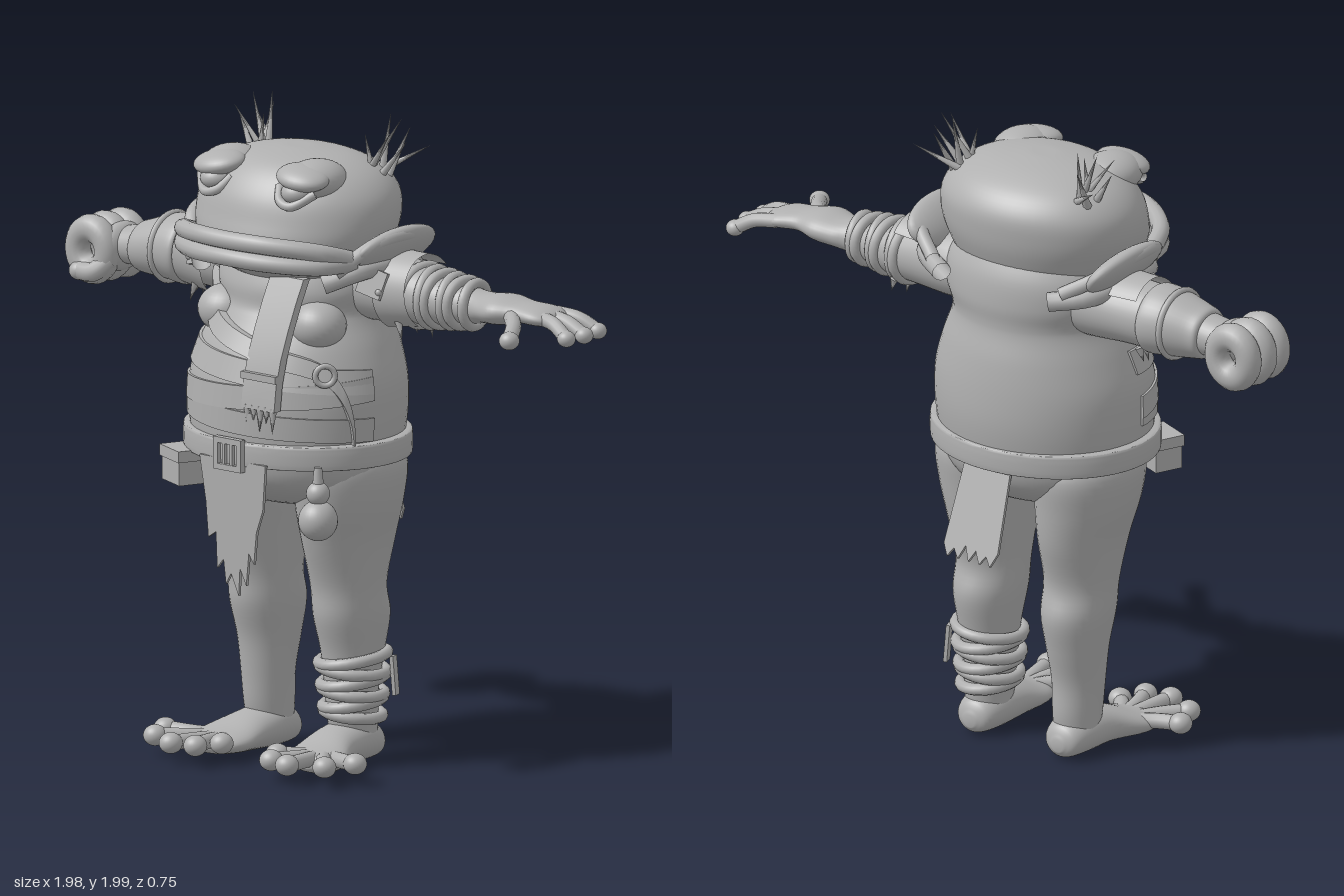
import * as THREE from 'three';
import { toCreasedNormals } from 'three/addons/utils/BufferGeometryUtils.js';

const V = (p) => new THREE.Vector3(...p);
const grey = new THREE.MeshStandardMaterial({ color: 0xb0b0b0, side: THREE.DoubleSide });
grey.name = 'clay grey';

function add(parent, name, geo, pos = [0, 0, 0], rot = [0, 0, 0], scale = [1, 1, 1]) {
  const m = new THREE.Mesh(geo, grey);
  m.name = name;
  m.position.set(...pos);
  m.rotation.set(...rot);
  m.scale.set(...scale);
  parent.add(m);
  return m;
}

// Joins rings of points into one closed skin
function skin(rows) {
  const n = rows[0].length, pos = [], idx = [];
  rows.forEach((r) => r.forEach((p) => pos.push(p.x, p.y, p.z)));
  for (let i = 0; i < rows.length - 1; i++) {
    for (let j = 0; j < n; j++) {
      const a = i * n + j, b = i * n + (j + 1) % n;
      idx.push(a, a + n, b, b, a + n, b + n);
    }
  }
  [0, rows.length - 1].forEach((i) => {
    const c = rows[i].reduce((s, p) => s.add(p), new THREE.Vector3()).divideScalar(n);
    const k = pos.length / 3;
    pos.push(c.x, c.y, c.z);
    for (let j = 0; j < n; j++) {
      const a = i * n + j, b = i * n + (j + 1) % n;
      if (i) idx.push(k, b, a); else idx.push(k, a, b);
    }
  });
  const g = new THREE.BufferGeometry();
  g.setAttribute('position', new THREE.Float32BufferAttribute(pos, 3));
  g.setIndex(idx);
  g.computeVertexNormals();
  return g;
}

// Smooth loft through elliptical sections [x, y, z, radiusA, radiusB] along an axis
function loft(secs, axis, n = 36) {
  const c = new THREE.CatmullRomCurve3(secs.map((s) => V(s.slice(0, 3))), false, 'catmullrom');
  const r = new THREE.CatmullRomCurve3(secs.map((s) => new THREE.Vector3(s[3], s[4], 0)), false, 'catmullrom');
  const rows = [], steps = (secs.length - 1) * 5;
  for (let i = 0; i <= steps; i++) {
    const p = c.getPoint(i / steps), q = r.getPoint(i / steps), row = [];
    for (let j = 0; j < n; j++) {
      const t = j / n * Math.PI * 2, C = Math.cos(t), S = Math.sin(t);
      const d = axis === 'y' ? [q.x * C, 0, q.y * S] : axis === 'x' ? [0, q.x * S, q.y * C] : [q.x * S, q.y * C, 0];
      row.push(V(d).add(p));
    }
    rows.push(row);
  }
  return skin(rows);
}

const ball = new THREE.SphereGeometry(1, 28, 20);
const tube = (pts, r, n = 20) => new THREE.TubeGeometry(new THREE.CatmullRomCurve3(pts.map(V)), n, r, 12);
const blob = (g, name, p, s, rot) => add(g, name, ball, p, rot, s);

// Digit with a round pad at the tip
function digit(g, name, pts, r, pad) {
  add(g, name, tube(pts, r, 12));
  blob(g, name + 'Pad', pts[pts.length - 1], [pad, pad * 0.9, pad]);
}

// Torso sections: height, z centre, half width, half depth
const TORSO = [[0.79, 0, 0.05, 0.05], [0.83, 0.01, 0.22, 0.19], [0.9, 0.015, 0.31, 0.275], [1, 0.015, 0.335, 0.3],
  [1.1, 0.012, 0.345, 0.31], [1.2, 0.01, 0.342, 0.305], [1.3, 0, 0.31, 0.282], [1.38, -0.015, 0.275, 0.248],
  [1.42, -0.025, 0.27, 0.235], [1.48, -0.03, 0.29, 0.235], [1.56, -0.04, 0.28, 0.215], [1.64, -0.04, 0.22, 0.18]];

function surf(y, a, off) {
  let i = 0;
  while (i < TORSO.length - 2 && TORSO[i + 1][0] < y) i++;
  const A = TORSO[i], B = TORSO[i + 1], t = (y - A[0]) / (B[0] - A[0]);
  const m = (k) => A[k] + (B[k] - A[k]) * t;
  return new THREE.Vector3(Math.sin(a) * (m(2) + off), y, m(1) + Math.cos(a) * (m(3) + off));
}

// Flat strap lying on the torso, through [height, angle] points
function strap(path, half, off) {
  const c = new THREE.CatmullRomCurve3(path.map(([y, a]) => new THREE.Vector3(a, y, 0)));
  const rows = c.getPoints(36).map((p) => [[half, -0.01], [half, off], [-half, off], [-half, -0.01]]
    .map(([h, o]) => surf(p.y + h, p.x, o)));
  return toCreasedNormals(skin(rows), 0.7);
}

function cloth(pts) {
  return new THREE.ExtrudeGeometry(new THREE.Shape(pts.map((p) => new THREE.Vector2(...p))), { depth: 0.01, bevelEnabled: false });
}

function spike(g, name, from, to, r) {
  const a = V(from), d = V(to).sub(a);
  const m = add(g, name, new THREE.ConeGeometry(r, d.length(), 7), a.clone().addScaledVector(d, 0.5).toArray());
  m.quaternion.setFromUnitVectors(new THREE.Vector3(0, 1, 0), d.normalize());
}

// Parts shared by both sides, built for +x
function buildSide(g) {
  add(g, 'leg', loft([[0.165, 0.07, -0.05, 0.07, 0.07], [0.165, 0.14, -0.045, 0.072, 0.085], [0.165, 0.24, -0.04, 0.078, 0.09],
    [0.165, 0.35, -0.045, 0.09, 0.108], [0.165, 0.46, -0.04, 0.105, 0.132], [0.165, 0.56, -0.025, 0.11, 0.125],
    [0.17, 0.7, -0.02, 0.125, 0.165], [0.18, 0.82, -0.012, 0.145, 0.19], [0.185, 0.93, -0.01, 0.15, 0.2], [0.18, 1.0, -0.01, 0.12, 0.16]], 'y'));
  add(g, 'foot', loft([[0.165, 0.05, -0.15, 0.02, 0.02], [0.165, 0.06, -0.125, 0.06, 0.052], [0.165, 0.07, -0.05, 0.078, 0.068],
    [0.17, 0.065, 0.05, 0.085, 0.06], [0.19, 0.05, 0.14, 0.105, 0.042], [0.2, 0.045, 0.2, 0.09, 0.03], [0.2, 0.045, 0.22, 0.03, 0.015]], 'z'));
  [[0.375, 0.19], [0.335, 0.285], [0.23, 0.335], [0.15, 0.315], [0.11, 0.24]].forEach(([x, z]) =>
    digit(g, 'toe', [[0.19, 0.05, 0.1], [(x + 0.2) / 2, 0.06, z * 0.5 + 0.07], [x, 0.065, z]], 0.024, 0.036));
  // Eye bulge, drooping lid, eyeball and bag
  blob(g, 'eyeBulge', [0.165, 1.825, 0.125], [0.09, 0.062, 0.105]);
  blob(g, 'eyelid', [0.165, 1.842, 0.185], [0.088, 0.035, 0.07], [0.2, 0, -0.12]);
  blob(g, 'eyeball', [0.16, 1.798, 0.205], [0.05, 0.036, 0.05]);
  add(g, 'eyeBag', tube([[0.095, 1.81, 0.21], [0.125, 1.772, 0.245], [0.17, 1.762, 0.248], [0.225, 1.8, 0.2]], 0.014));
  // Hair tuft
  [[0.295, 1.99, -0.12], [0.235, 1.995, -0.14], [0.335, 1.93, -0.1], [0.34, 1.9, -0.2], [0.2, 1.94, -0.06],
    [0.27, 1.95, -0.19], [0.31, 1.96, -0.05]].forEach((t, i) =>
    spike(g, 'hairSpike', [0.2 + i % 3 * 0.025, 1.81, -0.07 - i % 2 * 0.04], t, 0.014));
  // Collar rolls
  blob(g, 'collarFlare', [0.335, 1.612, -0.04], [0.04, 0.085, 0.175], [0, 0, -0.65]);
  add(g, 'collarRim', tube([[0.28, 1.56, 0.17], [0.36, 1.645, 0.07], [0.375, 1.655, -0.05], [0.34, 1.62, -0.16], [0.24, 1.56, -0.23]], 0.022));
  add(g, 'collarRoll', tube([[0.24, 1.52, 0.18], [0.32, 1.56, 0.1], [0.345, 1.57, -0.04], [0.31, 1.55, -0.17], [0.2, 1.53, -0.24]], 0.03));
  blob(g, 'chest', [0.18, 1.38, 0.135], [0.09, 0.075, 0.085]);
  // Riveted shoulder plate and the ragged fringe under it
  add(g, 'shoulderPlate', new THREE.CylinderGeometry(0.112, 0.122, 0.12, 28, 1, true, -2.5, 3.6), [0.4, 1.49, -0.05], [0, 0, -1.5]);
  const plate = new THREE.BoxGeometry(0.085, 0.085, 0.014);
  add(g, 'frontPlate', plate, [0.345, 1.525, 0.075], [-0.25, 0.2, -0.2]);
  [[0.325, 1.55], [0.375, 1.5]].forEach(([x, y]) => blob(g, 'rivet', [x, y, 0.083], [0.01, 0.01, 0.008]));
  for (let i = 0; i < 4; i++) spike(g, 'sleeveFringe', [0.4 + i * 0.02, 1.41, 0.02 - i * 0.05], [0.42 + i * 0.018, 1.345 + i % 2 * 0.02, 0.025 - i * 0.05], 0.014);
}

export function createModel() {
  const root = new THREE.Group();
  root.name = 'frogWanderer';
  const body = new THREE.Group();
  body.name = 'body';
  body.position.x = -0.085;
  root.add(body);

  add(body, 'torso', loft(TORSO.map(([y, z, a, b]) => [0, y, z, a, b]), 'y', 56));
  add(body, 'head', loft([[0, 1.5, 0.02, 0.18, 0.15], [0, 1.56, 0.03, 0.28, 0.24], [0, 1.63, 0.025, 0.32, 0.27], [0, 1.7, 0.01, 0.335, 0.27],
    [0, 1.77, 0, 0.322, 0.258], [0, 1.83, 0, 0.27, 0.215], [0, 1.87, 0.01, 0.185, 0.145], [0, 1.888, 0.01, 0.07, 0.06], [0, 1.89, 0.01, 0.005, 0.005]], 'y', 56));

  // Wide mouth
  blob(body, 'muzzle', [0, 1.6, 0.09], [0.3, 0.065, 0.255]);
  add(body, 'upperLip', tube([[-0.31, 1.595, 0.12], [-0.27, 1.63, 0.23], [-0.14, 1.65, 0.325], [0, 1.652, 0.345], [0.14, 1.65, 0.325], [0.27, 1.63, 0.23], [0.31, 1.595, 0.12]], 0.028, 48));
  add(body, 'lowerLip', tube([[-0.31, 1.59, 0.12], [-0.27, 1.588, 0.23], [-0.14, 1.595, 0.32], [0, 1.6, 0.345], [0.14, 1.595, 0.32], [0.27, 1.588, 0.23], [0.31, 1.59, 0.12]], 0.028, 48));

  for (const s of [1, -1]) {
    const side = new THREE.Group();
    side.name = s > 0 ? 'leftSide' : 'rightSide';
    side.scale.x = s;
    buildSide(side);
    body.add(side);
  }

  // Left arm: wrapped sleeve and open hand
  const left = new THREE.Group();
  left.name = 'leftArm';
  body.add(left);
  add(left, 'arm', loft([[0.12, 1.49, -0.05, 0.1, 0.12], [0.25, 1.49, -0.05, 0.11, 0.12], [0.38, 1.485, -0.05, 0.1, 0.105], [0.52, 1.475, -0.055, 0.078, 0.085],
    [0.64, 1.475, -0.055, 0.055, 0.062], [0.7, 1.478, -0.055, 0.046, 0.075], [0.77, 1.485, -0.05, 0.046, 0.092], [0.84, 1.487, -0.055, 0.034, 0.07],
    [0.91, 1.483, -0.065, 0.03, 0.078], [0.95, 1.478, -0.07, 0.02, 0.06], [0.96, 1.476, -0.07, 0.005, 0.02]], 'x'));
  for (let i = 0; i < 6; i++) {
    add(left, 'armWrap', new THREE.TorusGeometry(0.094 - i * 0.005, 0.017, 10, 32), [0.44 + i * 0.04, 1.478, -0.055],
      [0, Math.PI / 2 + (i % 2 ? 0.12 : -0.14), 0], [1, 0.96, 1]);
  }
  [[-0.12, -0.155, 1.04], [-0.075, -0.08, 1.05], [-0.035, -0.01, 1.04]].forEach(([a, b, x]) =>
    digit(left, 'finger', [[0.91, 1.483, a], [0.98, 1.473, (a + b) / 2], [x, 1.44, b]], 0.022, 0.028));
  digit(left, 'thumb', [[0.82, 1.48, -0.01], [0.89, 1.468, 0.06], [0.955, 1.45, 0.155]], 0.024, 0.031);

  // Right arm: bracer and a closed, hollow fist
  const right = new THREE.Group();
  right.name = 'rightArm';
  right.scale.x = -1;
  body.add(right);
  add(right, 'arm', loft([[0.12, 1.49, -0.05, 0.1, 0.12], [0.25, 1.49, -0.05, 0.11, 0.12], [0.38, 1.487, -0.05, 0.1, 0.11],
    [0.5, 1.485, -0.05, 0.095, 0.1], [0.62, 1.475, -0.04, 0.07, 0.075], [0.74, 1.465, -0.035, 0.055, 0.065]], 'x'));
  add(right, 'bracer', loft([[0.46, 1.485, -0.05, 0.09, 0.095], [0.475, 1.485, -0.05, 0.108, 0.115], [0.54, 1.485, -0.05, 0.102, 0.108],
    [0.62, 1.475, -0.04, 0.085, 0.09], [0.655, 1.472, -0.04, 0.074, 0.08], [0.66, 1.472, -0.04, 0.05, 0.055]], 'x'));
  add(right, 'bracerBand', new THREE.TorusGeometry(0.104, 0.01, 8, 32), [0.55, 1.483, -0.048], [0, Math.PI / 2, 0]);
  blob(right, 'palm', [0.735, 1.46, -0.03], [0.045, 0.075, 0.095]);
  [-0.1, -0.035, 0.03].forEach((z, i) =>
    add(right, 'curledFinger', new THREE.TorusGeometry(0.058, 0.04, 14, 28), [0.8 - (i === 0 ? 0.01 : 0), 1.45, z], [0, 0, 0], [1, 1.1, 1]));
  digit(right, 'thumb', [[0.73, 1.43, 0.03], [0.77, 1.39, 0.06], [0.83, 1.385, 0.055]], 0.03, 0.033);

  // Belly wraps, cross strap and ring
  [[1.09, 0.02], [1.165, -0.03], [1.245, 0.03]].forEach(([y, d]) =>
    add(body, 'bellyWrap', strap([[y + d, -1.5], [y, 0], [y - d, 1.4]], 0.036, 0.009)));
  add(body, 'crossStrap', strap([[1.5, -1.4], [1.38, -0.65], [1.3, 0.3], [1.23, 0.95], [1.13, 1.12], [1.03, 1.18]], 0.026, 0.022));
  add(body, 'strapRing', new THREE.TorusGeometry(0.03, 0.009, 10, 24), surf(1.25, 0.88, 0.03).toArray(), [0, 0.85, 0]);

  // Hanging chest cloth with torn lower edge
  const chest = [[1.53, 0.2], [1.46, 0.235], [1.38, 0.27], [1.3, 0.3], [1.22, 0.32], [1.14, 0.328]].map(([y, z]) =>
    [[0.05, z - 0.03], [0.05, z], [0.18, z], [0.18, z - 0.03]].map(([x, d]) => new THREE.Vector3(x - (1.53 - y) * 0.02, y, d)));
  add(body, 'chestCloth', toCreasedNormals(skin(chest), 0.7));
  add(body, 'chestClothFold', new THREE.BoxGeometry(0.135, 0.022, 0.02), [0.108, 1.24, 0.318]);
  for (let i = 0; i < 5; i++) spike(body, 'chestTatter', [0.058 + i * 0.025, 1.15, 0.315], [0.06 + i * 0.025, 1.07 + i % 2 * 0.03, 0.322], 0.014);

  // Belt and buckle
  add(body, 'belt', toCreasedNormals(loft([[0, 0.953, 0.015, 0.3, 0.27], [0, 0.956, 0.015, 0.355, 0.308], [0, 0.965, 0.015, 0.365, 0.316],
    [0, 1.02, 0.015, 0.365, 0.316], [0, 1.03, 0.015, 0.355, 0.308], [0, 1.034, 0.015, 0.3, 0.27]], 'y', 56), 0.8));
  const frame = new THREE.Shape([[-0.055, -0.05], [0.055, -0.05], [0.055, 0.05], [-0.055, 0.05]].map((p) => new THREE.Vector2(...p)));
  frame.holes.push(new THREE.Path([[-0.037, -0.032], [-0.037, 0.032], [0.037, 0.032], [0.037, -0.032]].map((p) => new THREE.Vector2(...p))));
  add(body, 'buckle', new THREE.ExtrudeGeometry(frame, { depth: 0.02, bevelEnabled: false }), [0, 0.99, 0.325]);
  [-0.015, 0.015].forEach((x) => add(body, 'bucklePin', new THREE.BoxGeometry(0.01, 0.08, 0.012), [x, 0.99, 0.338]));

  // Torn loincloth, front and back
  add(body, 'frontCloth', cloth([[-0.125, 0.97], [-0.1, 0.83], [-0.09, 0.72], [-0.06, 0.74], [-0.055, 0.63], [-0.03, 0.66], [-0.02, 0.585], [0, 0.62],
    [0.03, 0.555], [0.035, 0.64], [0.06, 0.59], [0.07, 0.69], [0.09, 0.66], [0.1, 0.76], [0.125, 0.83], [0.135, 0.97]]), [0, 0, 0.315]);
  const hem = [];
  for (let i = 0; i <= 10; i++) hem.push([-0.1 + i * 0.02, i % 2 ? -0.3 : -0.255 - i % 3 * 0.008]);
  add(body, 'backCloth', cloth([[0.085, 0], [-0.085, 0], ...hem]), [0, 0.965, -0.275], [0.34, 0, 0]);

  // Belt pouch and gourd
  add(body, 'pouch', new THREE.BoxGeometry(0.115, 0.1, 0.09), [-0.25, 0.905, 0.25], [0, -0.4, 0]);
  add(body, 'pouchFlap', new THREE.BoxGeometry(0.127, 0.035, 0.102), [-0.25, 0.945, 0.25], [0, -0.4, 0]);
  blob(body, 'gourdBase', [0.28, 0.812, 0.25], [0.06, 0.062, 0.06]);
  blob(body, 'gourdTop', [0.28, 0.895, 0.25], [0.036, 0.036, 0.036]);
  add(body, 'gourdNeck', new THREE.CylinderGeometry(0.012, 0.018, 0.06, 14), [0.28, 0.945, 0.25]);

  // Left ankle wraps with a loose end
  for (let i = 0; i < 6; i++) {
    add(body, 'ankleWrap', new THREE.TorusGeometry(0.086 + i * 0.003, 0.018, 10, 32), [0.167, 0.155 + i * 0.034, -0.043],
      [Math.PI / 2 + (i % 2 ? 0.08 : -0.06), i % 2 ? 0.12 : -0.1, 0], [1, 1.08, 1]);
  }
  add(body, 'ankleWrapEnd', new THREE.BoxGeometry(0.012, 0.12, 0.03), [0.27, 0.27, -0.115], [0, 0.3, 0.08]);
  return root;
}
